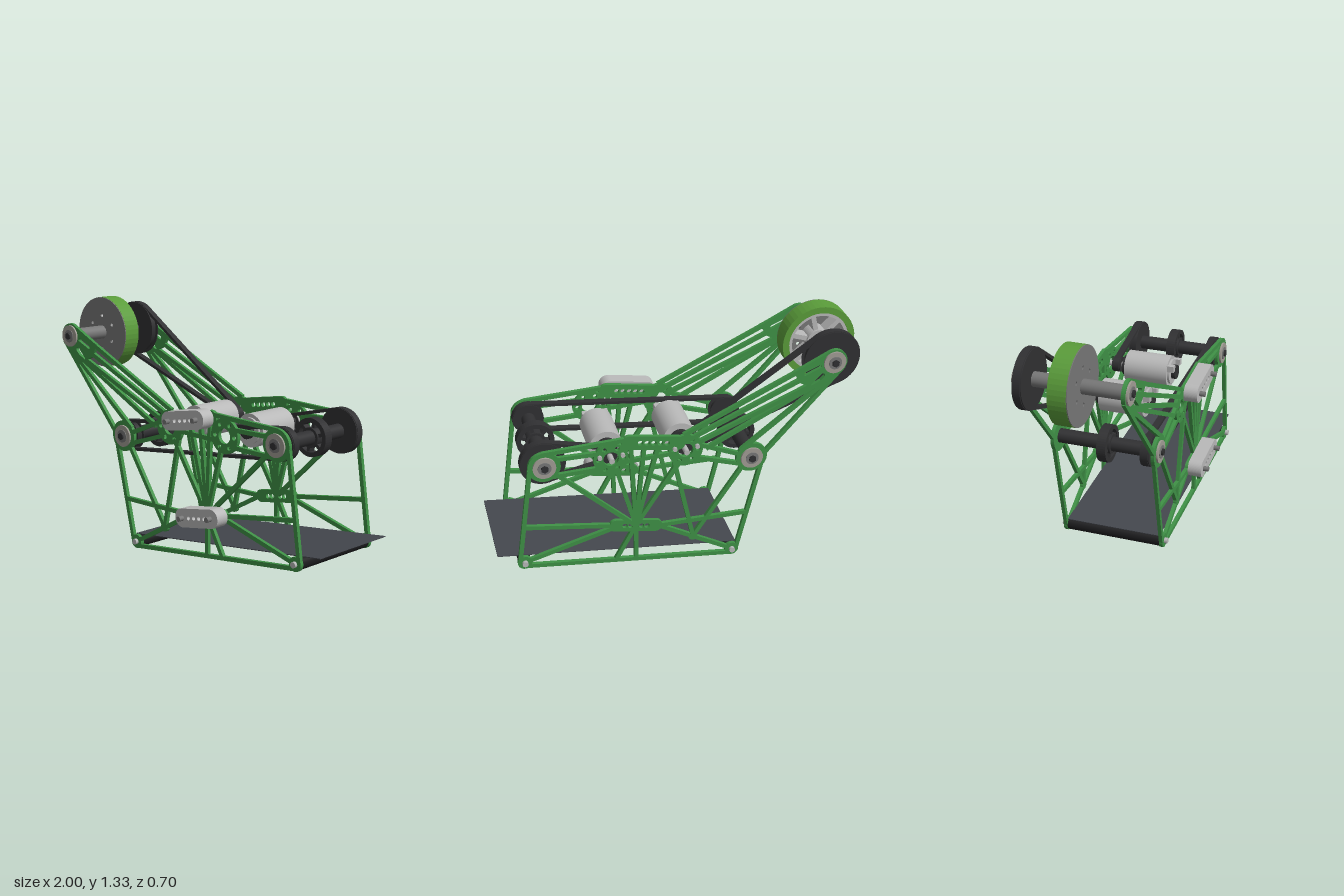
import * as THREE from 'three';
import { mergeGeometries } from 'three/addons/utils/BufferGeometryUtils.js';

const mat = (color) => new THREE.MeshStandardMaterial({ color });
const GREEN = mat(0x3f9146), TREAD = mat(0x5a9c3a), BLACK = mat(0x303032), STEEL = mat(0x767676),
  LIGHT = mat(0xb8b8b8), BEARING = mat(0xa09c94), SHEET = mat(0x44474e), ROLLER = mat(0x1c1c1e);
const FRONT = 0.235, BACK = -0.315;

// Joint positions in the side plane
const A = [-0.8, 1.13], B = [-0.37, 0.62], C = [0.73, 0.735], M1 = [-0.01, 0.72], M2 = [0.385, 0.73],
  E = [-0.275, 0.04], F = [0.86, 0.16], UP = [0.16, 0.79], LOW = [0.26, 0.29], K = [-0.055, 0.165];

function add(group, name, geometry, material) {
  const m = new THREE.Mesh(geometry, material);
  m.name = name;
  group.add(m);
  return m;
}

// Cylinder along z at p, between z0 and z1
function rod(p, r, z0, z1, seg = 32) {
  return new THREE.CylinderGeometry(r, r, Math.abs(z1 - z0), seg).rotateX(Math.PI / 2)
    .translate(p[0], p[1], (z0 + z1) / 2);
}

function extrude(shape, z, depth) {
  return new THREE.ExtrudeGeometry(shape, { depth, bevelEnabled: false, curveSegments: 24 })
    .translate(0, 0, z - depth / 2);
}

function hole(shape, x, y, r) {
  shape.holes.push(new THREE.Path().absarc(x, y, r, 0, Math.PI * 2, true));
}

function ring(p, r, inner, z, depth) {
  const s = new THREE.Shape().absarc(p[0], p[1], r, 0, Math.PI * 2);
  hole(s, p[0], p[1], inner);
  return extrude(s, z, depth);
}

// Flat bar between two points
function bar(a, b, w, z, depth) {
  const dx = b[0] - a[0], dy = b[1] - a[1];
  return new THREE.BoxGeometry(Math.hypot(dx, dy), w, depth).rotateZ(Math.atan2(dy, dx))
    .translate((a[0] + b[0]) / 2, (a[1] + b[1]) / 2, z);
}

// Outline wrapped round two circles
function wrap(p, r1, q, r2, Type = THREE.Shape) {
  const dx = q[0] - p[0], dy = q[1] - p[1], d = Math.atan2(dy, dx);
  const f = Math.acos((r1 - r2) / Math.hypot(dx, dy));
  return new Type().absarc(p[0], p[1], r1, d + f, d + Math.PI * 2 - f)
    .absarc(q[0], q[1], r2, d - f, d + f).closePath();
}

function belt(p, r1, q, r2, z, depth) {
  const s = wrap(p, r1, q, r2);
  s.holes.push(wrap(p, r1 - 0.016, q, r2 - 0.016, THREE.Path));
  return extrude(s, z, depth);
}

// Slanted rounded strip with a row of holes
function pill(c, half, r, z, depth, holes, holeR) {
  const s = wrap([-half, 0], r, [half, 0], r);
  for (let i = 0; i < holes; i++) hole(s, (i / (holes - 1) - 0.5) * 1.1 * half, 0, holeR);
  return extrude(s, 0, depth).rotateZ(0.16).translate(c[0], c[1], z);
}

function spokes(p, r0, r1, n, w, z, depth) {
  return Array.from({ length: n }, (_, i) => {
    const a = (i / n) * Math.PI * 2 + 0.3, c = Math.cos(a), s = Math.sin(a);
    return bar([p[0] + r0 * c, p[1] + r0 * s], [p[0] + r1 * c, p[1] + r1 * s], w, z, depth);
  });
}

// Cut-out truss plate, one per side
function sidePlate(z) {
  const T = 0.02;
  const struts = [
    [[-0.855, 1.1], [-0.445, 0.64]], [[-0.78, 1.185], [-0.58, 1.085]], [[-0.58, 1.085], [0, 0.81]],
    [[-0.74, 1.1], [-0.02, 0.775]], [[-0.68, 1.01], [-0.07, 0.75]], [[-0.75, 1.03], [-0.12, 0.71]],
    [[-0.76, 1.02], [-0.31, 0.67]], [B, [-0.07, 0.745]], [[-0.33, 0.58], [-0.05, 0.67]],
    [[-0.43, 0.59], [-0.3, 0.04]], [[-0.272, 0.015], [0.865, 0.137]], [[0.885, 0.16], [0.805, 0.72]],
    [[-0.355, 0.27], [0.15, 0.27]], [[-0.33, 0.58], K], [E, [0.14, 0.27]], [K, [0.05, 0.66]],
    [LOW, [0.26, 0.08]], [LOW, [0.37, 0.09]], [[0.38, 0.295], F], [[0.38, 0.31], [0.85, 0.38]],
    [LOW, [0.02, 0.66]], [LOW, [0.14, 0.75]], [LOW, [0.21, 0.77]], [LOW, [0.28, 0.79]],
    [LOW, [0.36, 0.67]], [LOW, [0.68, 0.69]], [[0.3, 0.83], [0.74, 0.81]],
    [[0.42, 0.77], [0.68, 0.77]], [[0.42, 0.68], [0.7, 0.67]], [[0.05, 0.71], [0.31, 0.7]],
  ];
  const parts = struts.map(([a, b]) => bar(a, b, 0.023, z, T));
  // joints, motor mounts and hole strips
  for (const [p, r, h] of [[A, 0.07, 0.03], [B, 0.085, 0.03], [C, 0.085, 0.03], [E, 0.038, 0.015], [F, 0.038, 0.015], [K, 0.025, 0.01]])
    parts.push(ring(p, r, h, z, T));
  for (const p of [M1, M2]) {
    const s = new THREE.Shape().absarc(p[0], p[1], 0.092, 0, Math.PI * 2);
    hole(s, p[0], p[1], 0.04);
    for (let i = 0; i < 6; i++) hole(s, p[0] + 0.066 * Math.cos(i * 1.047), p[1] + 0.066 * Math.sin(i * 1.047), 0.012);
    parts.push(extrude(s, z, T));
  }
  parts.push(pill(UP, 0.13, 0.04, z, T, 5, 0.014), pill(LOW, 0.11, 0.035, z, T, 5, 0.014));
  // slotted web at the top of the arm
  const web = new THREE.Shape([[-0.8, 1.19], [-0.58, 1.1], [-0.62, 1.03], [-0.74, 0.97], [-0.86, 1.1]].map((v) => new THREE.Vector2(...v)));
  hole(web, A[0], A[1], 0.03);
  web.holes.push(wrap([-0.72, 1.11], 0.012, [-0.65, 1.08], 0.012, THREE.Path),
    wrap([-0.74, 1.06], 0.012, [-0.69, 1.01], 0.012, THREE.Path));
  parts.push(extrude(web, z, T));
  return mergeGeometries(parts.map((g) => g.index ? g.toNonIndexed() : g));
}

export function createModel() {
  const model = new THREE.Group();
  model.name = 'beltLauncher';

  for (const [side, z, dir] of [['front', FRONT, 1], ['back', BACK, -1]]) {
    add(model, side + 'SidePlate', sidePlate(z), GREEN);
    for (const p of [A, B, C]) {
      add(model, side + 'Bearing', ring(p, 0.06, 0.026, z + dir * 0.012, 0.016), BEARING);
      add(model, side + 'AxleCollar', rod(p, 0.035, z, z + dir * 0.024), STEEL);
      add(model, side + 'AxleBolt', rod(p, 0.02, z, z + dir * 0.034, 6), BLACK);
    }
    for (const p of [E, F]) add(model, side + 'RollerBolt', rod(p, 0.016, z, z + dir * 0.027, 12), LIGHT);
  }

  // Cross axles
  for (const [p, m] of [[A, STEEL], [B, BLACK], [C, BLACK]])
    add(model, 'axle', rod(p, 0.038, BACK + 0.01, FRONT - 0.01), m);

  // Large wheel: green tread, drilled face disc, spoked core
  const wheel = new THREE.Group();
  wheel.name = 'largeWheel';
  model.add(wheel);
  add(wheel, 'tread', ring(A, 0.2, 0.165, -0.043, 0.096), TREAD);
  const face = new THREE.Shape().absarc(A[0], A[1], 0.199, 0, Math.PI * 2);
  for (let i = 0; i < 6; i++) hole(face, A[0] + 0.095 * Math.sin(i * Math.PI / 3), A[1] + 0.095 * Math.cos(i * Math.PI / 3), 0.01);
  add(wheel, 'faceDisc', extrude(face, 0.006, 0.008), STEEL);
  add(wheel, 'rim', ring(A, 0.168, 0.148, -0.043, 0.088), LIGHT);
  add(wheel, 'hub', ring(A, 0.065, 0.036, -0.043, 0.088), LIGHT);
  add(wheel, 'spokes', mergeGeometries(spokes(A, 0.05, 0.155, 6, 0.026, -0.04, 0.07)), LIGHT);

  // Small spoked feed wheels
  for (const p of [B, C]) {
    const w = new THREE.Group();
    w.name = 'feedWheel';
    model.add(w);
    add(w, 'tyre', ring(p, 0.1, 0.076, -0.04, 0.05), BLACK);
    add(w, 'hub', ring(p, 0.052, 0.036, -0.04, 0.06), BLACK);
    add(w, 'spokes', mergeGeometries(spokes(p, 0.045, 0.08, 6, 0.018, -0.04, 0.04)), BLACK);
  }

  // Pulleys and belts
  const ZB = -0.267, ZF = 0.19;
  for (const [p, r, z] of [[A, 0.138, ZB], [C, 0.104, ZB], [M1, 0.028, ZB], [M2, 0.028, ZB], [B, 0.07, ZF], [C, 0.07, ZF]]) {
    add(model, 'pulley', rod(p, r, z - 0.018, z + 0.018, 48), BLACK);
    for (const s of [-1, 1]) add(model, 'pulleyFlange', rod(p, r + 0.014, z + s * 0.019, z + s * 0.024, 48), BLACK);
  }
  add(model, 'wheelBelt', belt(A, 0.155, M1, 0.044, ZB, 0.036), BLACK);
  add(model, 'rearBelt', belt(C, 0.12, M2, 0.044, ZB, 0.036), BLACK);
  add(model, 'feedBelt', belt(B, 0.086, C, 0.086, ZF, 0.036), BLACK);

  // Motors with end cap, terminals, shaft and mounting screws
  for (const p of [M1, M2]) {
    const g = new THREE.Group();
    g.name = 'motor';
    model.add(g);
    add(g, 'can', rod(p, 0.089, -0.2, 0.05, 40), LIGHT);
    add(g, 'endCap', rod(p, 0.07, 0.05, 0.062), LIGHT);
    add(g, 'rearBoss', rod(p, 0.04, 0.06, 0.085), BLACK);
    add(g, 'gearNose', rod(p, 0.055, -0.225, -0.2), BLACK);
    add(g, 'shaft', rod(p, 0.015, BACK - 0.035, -0.2, 16), LIGHT);
    for (const s of [-1, 1]) {
      add(g, 'terminal', new THREE.BoxGeometry(0.03, 0.035, 0.04).translate(p[0] + s * 0.055, p[1] + 0.04, 0.068), LIGHT);
      add(g, 'screw', rod([p[0] + s * 0.06, p[1] + 0.02], 0.012, BACK - 0.025, BACK, 12), LIGHT);
    }
  }

  // Mounting blocks on the front plate
  for (const c of [UP, LOW]) {
    add(model, 'mountBlock', pill(c, 0.103, 0.05, 0.284, 0.076, 4, 0.011), LIGHT);
    for (const s of [-1, 1])
      add(model, 'mountStud', rod([c[0] + s * 0.1, c[1] + s * 0.017], 0.014, 0.3, 0.352, 12), STEEL);
  }

  // Base rollers and sloping sheet
  for (const p of [E, F]) add(model, 'baseRoller', rod(p, 0.034, BACK + 0.01, FRONT - 0.01), ROLLER);
  add(model, 'baseSheet', bar([-0.3, 0.075], [1, 0.214], 0.004, -0.042, 0.53), SHEET);
  return model;
}
